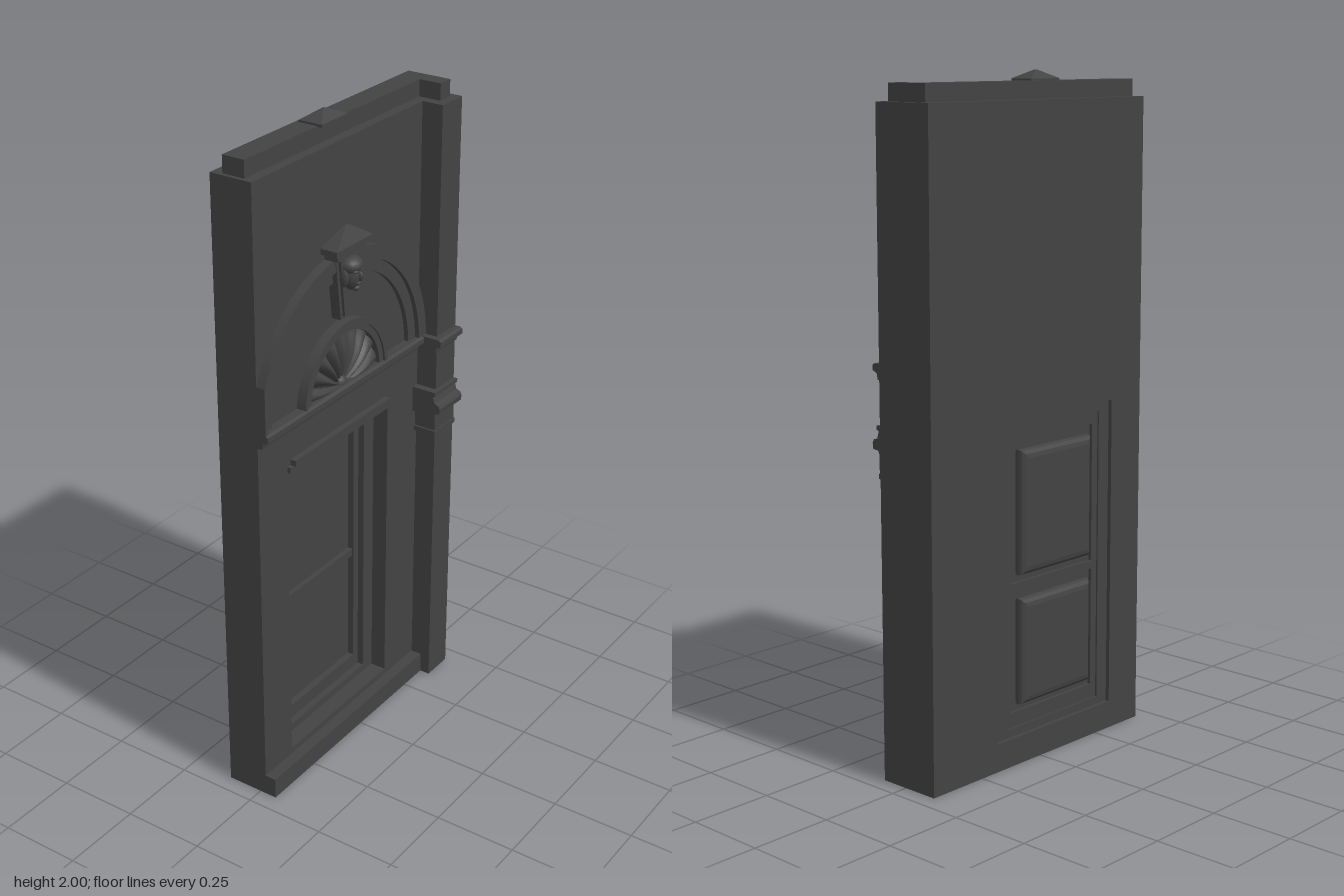
import * as THREE from 'three';
import { ParametricGeometry } from 'three/addons/geometries/ParametricGeometry.js';

// Built flat as a panel (x along the wall, y up, z out of the face), then turned to face +x.
const COLOR = 0x434343;
const mat = new THREE.MeshStandardMaterial({ color: COLOR });
const thin = new THREE.MeshStandardMaterial({ color: COLOR, side: THREE.DoubleSide });
const END = 0.447, FACE = 0.02, BACK = -0.112; // half length, wall face, wall back
const CX = -0.065, CY = 1.2;                   // centre of the arch

export function createModel() {
  const model = new THREE.Group();
  const panel = new THREE.Group();
  panel.name = 'wallPanel';
  panel.rotation.y = Math.PI / 2;
  model.add(panel);

  const add = (name, geo, x = 0, y = 0, z = 0, material = mat) => {
    const mesh = new THREE.Mesh(geo, material);
    mesh.name = name;
    mesh.position.set(x, y, z);
    panel.add(mesh);
    return mesh;
  };
  const block = (name, x0, x1, y0, y1, z0, z1) =>
    add(name, new THREE.BoxGeometry(x1 - x0, y1 - y0, z1 - z0), (x0 + x1) / 2, (y0 + y1) / 2, (z0 + z1) / 2);
  const poly = (pts) => new THREE.Shape(pts.map(([x, y]) => new THREE.Vector2(x, y)));
  const rect = (x0, y0, x1, y1) => poly([[x0, y0], [x1, y0], [x1, y1], [x0, y1]]);
  const slab = (name, shape, z0, z1) =>
    add(name, new THREE.ExtrudeGeometry(shape, { depth: z1 - z0, bevelEnabled: false, curveSegments: 24 }), 0, 0, z0);
  const framed = (name, outer, inner, z0, z1) => {
    const s = rect(...outer);
    s.holes.push(rect(...inner));
    return slab(name, s, z0, z1);
  };
  // Moulding: a [depth, height] profile run along the wall
  const moulding = (name, profile, x0, x1) => {
    const geo = new THREE.ExtrudeGeometry(poly(profile), { depth: x1 - x0, bevelEnabled: false });
    add(name, geo.rotateY(-Math.PI / 2), x1);
  };
  // Four-sided hipped roof
  const hip = (name, w, h, d, x, y, z) => {
    const geo = new THREE.CylinderGeometry(Math.SQRT1_2 * 0.06, Math.SQRT1_2, 1, 4, 1).toNonIndexed();
    geo.rotateY(Math.PI / 4).scale(w, h, d).computeVertexNormals();
    add(name, geo, x, y + h / 2, z);
  };

  // Wall, end pilaster and plinth
  const opening = [-0.315, 0.085, 0.185, 1.03];
  framed('wall', [-END, 0, END, 1.92], opening, BACK, FACE);
  block('pilaster', 0.345, END, 0, 1.92, FACE, 0.087);
  block('plinth', -END, 0.345, 0, 0.065, FACE, 0.055);

  // Parapet with its return over the pilaster, and the small roof ornament
  block('parapet', -0.435, 0.425, 1.92, 1.97, -0.08, -0.01);
  block('parapetReturn', 0.375, 0.425, 1.92, 1.97, -0.01, 0.06);
  block('ornamentBase', -0.12, 0, 1.968, 1.976, -0.07, 0.005);
  hip('ornamentCap', 0.12, 0.024, 0.075, -0.06, 1.976, -0.0325);

  // Window: casing, sash, glazing and rail
  const sash = [-0.27, 0.11, 0.135, 1.0], glass = [-0.245, 0.155, 0.11, 0.965];
  framed('windowCasing', opening, sash, -0.1, -0.03);
  framed('windowSash', sash, glass, -0.095, -0.05);
  block('windowGlass', glass[0], glass[2], glass[1], glass[3], -0.085, -0.07);
  block('windowRail', glass[0], glass[2], 0.52, 0.545, -0.095, -0.055);

  // Raised panels with bevelled edges behind each sash
  for (const [y0, y1] of [[0.18, 0.5], [0.57, 0.94]]) {
    const geo = new THREE.ExtrudeGeometry(rect(-0.19, y0 + 0.025, 0.065, y1 - 0.025),
      { depth: 0.005, bevelThickness: 0.02, bevelSize: 0.025, bevelSegments: 3 });
    add('backPanel', geo, 0, 0, -0.105);
  }

  // Window head
  block('windowHead', -0.315, 0.185, 1.03, 1.048, 0, 0.03);
  block('windowHeadCap', -0.3, 0.17, 1.048, 1.066, 0, 0.038);

  // String course along the wall and round the pilaster
  const course = (d) => [[0, 1.165], [d + 0.01, 1.165], [d + 0.014, 1.183], [d + 0.03, 1.19],
    [d + 0.03, 1.205], [d + 0.022, 1.21], [0, 1.21]];
  moulding('stringCourse', course(0.025), -END, 0.345);
  moulding('pilasterCourse', course(0.083), 0.325, END);

  // Pilaster capital
  moulding('pilasterCapital', [[0, 0.955], [0.09, 0.955], [0.095, 0.965], [0.115, 0.968], [0.117, 0.985],
    [0.112, 0.995], [0.098, 1.0], [0.092, 1.02], [0.1, 1.024], [0.1, 1.036], [0, 1.036]], 0.322, END);
  block('capitalNeck', 0.338, END, 0.9, 0.955, FACE, 0.09);
  block('capitalRing', 0.332, END, 0.885, 0.9, FACE, 0.094);

  // Arch bands, trimmed at the end of the wall
  const band = (name, r0, r1, z1) => {
    const s = new THREE.Shape();
    const reach = END + CX;
    const stop = r1 > reach ? Math.PI - Math.acos(reach / r1) : Math.PI;
    s.moveTo(CX + r0, CY);
    s.lineTo(CX + r1, CY);
    s.absarc(CX, CY, r1, 0, stop, false);
    if (r1 > reach) s.lineTo(-END, CY);
    s.lineTo(CX - r0, CY);
    s.absarc(CX, CY, r0, Math.PI, 0, true);
    slab(name, s, FACE - 0.005, z1);
  };
  band('archInnerBand', 0.335, 0.41, 0.034);
  band('archOuterBand', 0.372, 0.41, 0.048);
  band('fanRim', 0.168, 0.202, 0.044);
  band('fanRimEdge', 0.188, 0.202, 0.05);

  // Fluted fan, with petals that swell towards the rim
  const PETALS = 9;
  add('fan', new ParametricGeometry((u, v, p) => {
    const a = v * Math.PI, r = 0.172 * u;
    const swell = Math.abs(Math.sin(v * Math.PI * PETALS)) * Math.sin(Math.PI * Math.min(1, u * 0.85));
    p.set(CX + r * Math.cos(a), CY + r * Math.sin(a), FACE + 0.002 + 0.022 * swell);
  }, 12, PETALS * 8), 0, 0, 0, thin);
  const hub = add('fanHub', new THREE.SphereGeometry(0.025, 16, 10), CX, 1.21, FACE);
  hub.scale.z = 0.9;

  // Keystone and its hipped cap
  const wedge = (b, t, y0, y1) => poly([[CX - b, y0], [CX + b, y0], [CX + t, y1], [CX - t, y1]]);
  slab('keystone', wedge(0.034, 0.058, 1.42, 1.61), FACE, 0.05);
  slab('keystoneInset', wedge(0.025, 0.045, 1.43, 1.6), FACE, 0.058);
  block('keystoneNeck', CX - 0.068, CX + 0.068, 1.605, 1.625, FACE, 0.064);
  block('keystoneSlab', CX - 0.085, CX + 0.085, 1.625, 1.642, FACE - 0.003, 0.074);
  hip('keystoneCap', 0.17, 0.048, 0.057, CX, 1.642, 0.0455);

  // Carved head on the keystone
  const ball = (name, x, y, z, rx, ry, rz) =>
    add(name, new THREE.SphereGeometry(1, 16, 12), CX + x, y, z).scale.set(rx, ry, rz);
  ball('head', 0, 1.55, 0.06, 0.03, 0.046, 0.032);
  ball('hair', 0, 1.577, 0.06, 0.037, 0.026, 0.034);
  ball('nose', 0, 1.55, 0.09, 0.006, 0.014, 0.01);
  ball('chin', 0, 1.513, 0.076, 0.012, 0.01, 0.012);
  ball('mouth', 0, 1.53, 0.086, 0.01, 0.004, 0.006);
  for (const side of [-1, 1]) {
    ball('brow', side * 0.013, 1.566, 0.085, 0.011, 0.005, 0.007);
    ball('sideHair', side * 0.031, 1.55, 0.057, 0.01, 0.03, 0.016);
  }

  return model;
}
